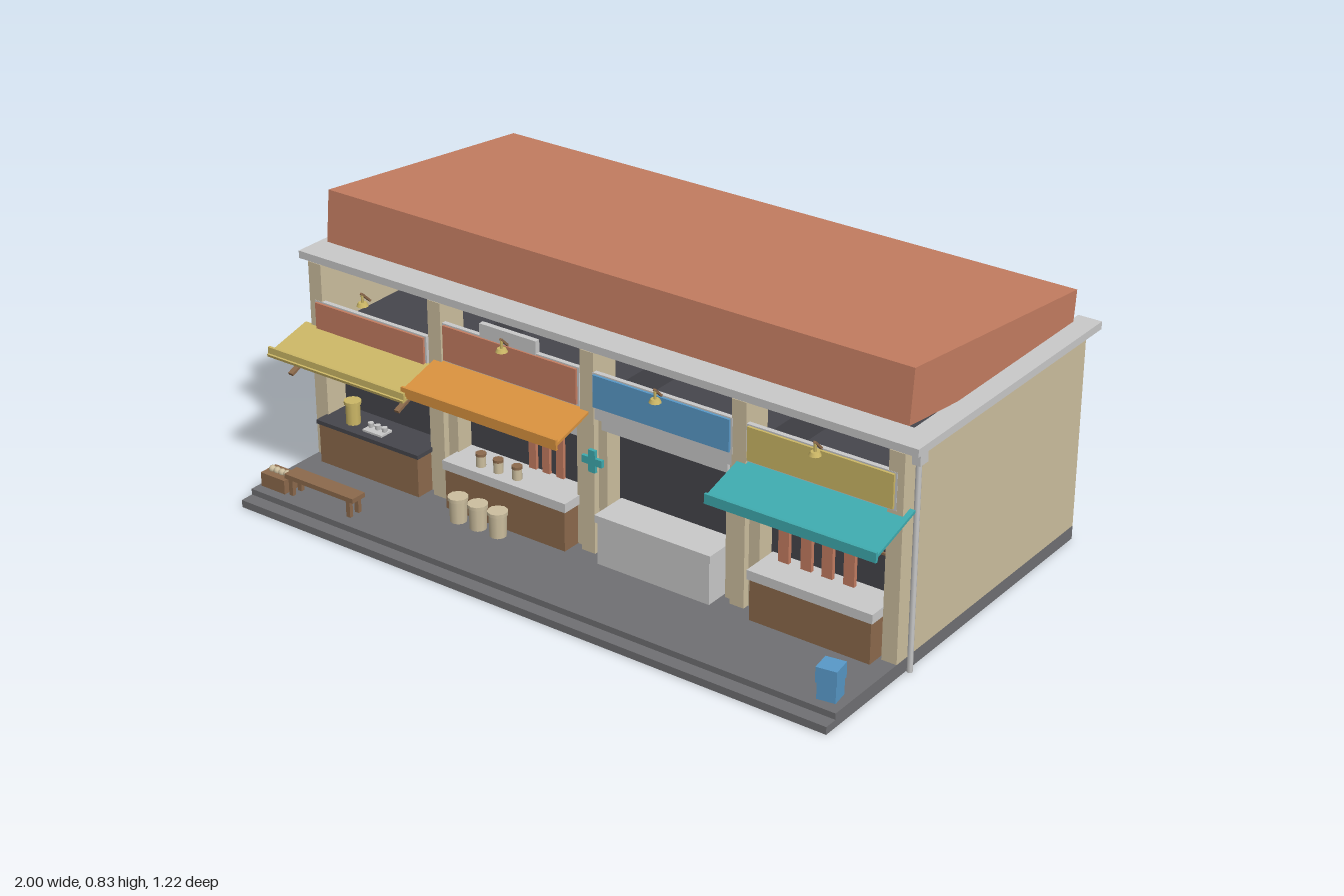
import * as THREE from 'three';

const mat = (name, color) => Object.assign(new THREE.MeshStandardMaterial({ color }), { name });

export function createModel() {
  const model = new THREE.Group();
  model.name = 'shopRow';
  const M = {
    wall: mat('plaster', 0xcdbf9f), tile: mat('terracotta', 0xc47d61), metal: mat('light grey', 0xc9c9c9),
    stone: mat('pavement grey', 0x707073), dark: mat('charcoal', 0x46464c), wood: mat('wood brown', 0x8c6a4c),
    blue: mat('blue', 0x5899c8), yellow: mat('straw yellow', 0xccb766), orange: mat('orange', 0xd9923f),
    teal: mat('teal', 0x3fabaf),
  };
  const add = (name, geo, m, parent = model) => {
    const mesh = new THREE.Mesh(geo, m);
    mesh.name = name;
    parent.add(mesh);
    return mesh;
  };
  // Box given by its extents along each axis
  const box = (name, m, x0, x1, y0, y1, z0, z1, parent) => {
    const b = add(name, new THREE.BoxGeometry(x1 - x0, y1 - y0, z1 - z0), m, parent);
    b.position.set((x0 + x1) / 2, (y0 + y1) / 2, (z0 + z1) / 2);
    return b;
  };
  // Upright cylinder standing on y
  const can = (name, m, x, y, z, r0, r1, h, sides = 10) => {
    const c = add(name, new THREE.CylinderGeometry(r1, r0, h, sides), m);
    c.position.set(x, y + h / 2, z);
    return c;
  };
  // Sloping board running from a wall point (z0, y0) to an outer point (z1, y1)
  const slope = (name, m, x0, x1, z0, y0, z1, y1, t) => {
    const b = add(name, new THREE.BoxGeometry(x1 - x0, t, Math.hypot(z1 - z0, y1 - y0)), m);
    b.position.set((x0 + x1) / 2, (y0 + y1) / 2, (z0 + z1) / 2);
    b.rotation.x = Math.atan2(y0 - y1, z1 - z0);
    return b;
  };

  // Pavement and step
  box('pavement', M.stone, -0.965, 0.965, 0, 0.04, -0.595, 0.57);
  box('step', M.stone, -0.965, 0.965, 0, 0.022, 0.57, 0.61);

  // Shell walls and front pillars
  box('backWall', M.wall, -0.965, 0.965, 0.04, 0.645, -0.595, -0.565);
  for (const s of [-1, 1]) {
    const a = 0.965 * s, b = 0.935 * s;
    box('sideWall', M.wall, Math.min(a, b), Math.max(a, b), 0.04, 0.632, -0.565, 0.25);
    const c = 0.92 * s;
    box('endPillar', M.wall, Math.min(a, c), Math.max(a, c), 0.04, 0.63, 0.2, 0.295);
  }
  for (const x of [-0.515, 0, 0.48]) box('pillar', M.wall, x - 0.022, x + 0.022, 0.04, 0.63, 0.2, 0.295);

  // Shop rooms with plaster jambs between them
  const bays = [[-0.92, -0.56], [-0.46, -0.05], [0.05, 0.43], [0.535, 0.92]];
  bays.forEach(([a, b], i) => {
    box('shopRoom', M.dark, a, b, 0.04, 0.44, -0.5, 0.22);
    if (i < 3) box('jamb', M.wall, b, bays[i + 1][0], 0.04, 0.45, 0.18, 0.275);
  });

  // Tilted roof block and coping
  const roof = add('roof', new THREE.BoxGeometry(1.88, 0.15, 0.804), M.tile);
  roof.position.set(0, 0.708, -0.167);
  roof.rotation.x = -0.106;
  box('frontCoping', M.metal, -1, 1, 0.63, 0.652, 0.2, 0.293);
  for (const s of [-1, 1]) {
    box('sideCoping', M.metal, s * 0.965 - 0.035, s * 0.965 + 0.035, 0.63, 0.652, -0.61, 0.2);
    // Downpipes
    can('downpipe', M.metal, s * 0.974, 0, 0.245, 0.008, 0.008, 0.6, 8);
    box('rainHead', M.metal, s * 0.974 - 0.015, s * 0.974 + 0.015, 0.59, 0.63, 0.228, 0.264);
  }
  box('meterBox', M.metal, -0.995, -0.965, 0.2, 0.29, 0.15, 0.2);

  // Sign boards, each with a pale backing, and a lamp above
  const signs = [
    [M.tile, -0.94, -0.55, 0.43, 0.515, -0.745], [M.tile, -0.48, -0.03, 0.47, 0.572, -0.26],
    [M.blue, 0.025, 0.455, 0.48, 0.572, 0.24], [M.yellow, 0.51, 0.94, 0.475, 0.57, 0.725],
  ];
  for (const [m, x0, x1, y0, y1, lx] of signs) {
    box('signBacking', M.metal, x0 - 0.006, x1 + 0.006, y0 - 0.006, y1 + 0.004, 0.282, 0.296);
    box('signBoard', m, x0, x1, y0, y1, 0.296, 0.303);
    slope('lampArm', M.wood, lx - 0.004, lx + 0.004, 0.292, 0.57, 0.325, 0.602, 0.006);
    can('lampStem', M.yellow, lx, 0.572, 0.322, 0.004, 0.004, 0.028, 6);
    can('lampShade', M.yellow, lx, 0.565, 0.322, 0.017, 0.012, 0.01);
  }
  box('ventPanel', M.metal, -0.355, -0.165, 0.57, 0.612, 0.282, 0.298);

  // Awnings
  slope('yellowAwning', M.yellow, -0.99, -0.5, 0.29, 0.436, 0.45, 0.396, 0.008);
  box('yellowValance', M.yellow, -0.99, -0.5, 0.393, 0.42, 0.438, 0.446);
  slope('orangeAwning', M.orange, -0.52, 0.005, 0.265, 0.462, 0.43, 0.415, 0.008);
  box('orangeValance', M.orange, -0.52, 0.005, 0.4, 0.43, 0.425, 0.433);
  slope('tealAwning', M.teal, 0.475, 0.98, 0.262, 0.465, 0.435, 0.414, 0.008);
  box('tealValance', M.teal, 0.475, 0.98, 0.4, 0.428, 0.428, 0.437);
  for (const x of [-0.935, -0.55]) slope('awningStrut', M.wood, x - 0.008, x + 0.008, 0.29, 0.395, 0.42, 0.342, 0.008);

  // Rolled shutters
  box('halfShutter', M.metal, -0.46, -0.05, 0.34, 0.41, 0.22, 0.24);
  box('shutterHousing', M.metal, 0.022, 0.468, 0.44, 0.495, 0.255, 0.292);
  box('shutterLintel', M.metal, 0.04, 0.44, 0.41, 0.44, 0.22, 0.285);

  // Counters
  const counters = [[-0.92, -0.56, M.wood, M.dark, 0.16, 0.172], [-0.46, -0.05, M.wood, M.metal, 0.16, 0.187],
    [0.06, 0.42, M.metal, M.metal, 0.165, 0.187], [0.545, 0.91, M.wood, M.metal, 0.16, 0.187]];
  for (const [a, b, body, top, y, yt] of counters) {
    box('counter', body, a, b, 0.04, y, 0.22, 0.333);
    box('counterTop', top, a - 0.006, b + 0.006, y, yt, 0.22, 0.338);
  }

  // Goods on the counters
  can('canister', M.yellow, -0.83, 0.172, 0.29, 0.021, 0.021, 0.06);
  can('canisterLid', M.yellow, -0.83, 0.232, 0.29, 0.025, 0.025, 0.01);
  box('tray', M.metal, -0.775, -0.705, 0.172, 0.178, 0.27, 0.315);
  for (const x of [-0.765, -0.74, -0.715]) can('cup', M.metal, x, 0.178, 0.29, 0.007, 0.009, 0.014, 8);
  for (const x of [-0.36, -0.3, -0.235]) {
    can('jar', M.wall, x, 0.187, 0.3, 0.014, 0.014, 0.032);
    can('jarLid', M.wood, x, 0.219, 0.3, 0.015, 0.015, 0.008);
  }

  // Hanging goods
  [-0.175, -0.13, -0.083].forEach((x, i) =>
    box('hangingStrip', M.tile, x - 0.012, x + 0.012, 0.24, 0.395 - i * 0.012, 0.298, 0.308));
  for (const x of [0.622, 0.69, 0.753, 0.818]) box('hangingCloth', M.tile, x - 0.016, x + 0.016, 0.217, 0.335, 0.285, 0.297);
  box('clothRail', M.wood, 0.54, 0.92, 0.335, 0.341, 0.287, 0.293);

  // Cross on the middle pillar
  box('crossUpright', M.teal, 0.01, 0.032, 0.288, 0.353, 0.295, 0.305);
  box('crossBar', M.teal, -0.012, 0.054, 0.31, 0.331, 0.295, 0.305);

  // Barrels in front of the second shop
  for (const x of [-0.388, -0.319, -0.25]) {
    can('barrel', M.wall, x, 0.04, 0.368, 0.024, 0.026, 0.068, 10);
    can('barrelRim', M.wall, x, 0.105, 0.368, 0.029, 0.029, 0.01, 10);
  }

  // Bench, with a crate of produce beside it
  box('benchSeat', M.wood, -0.87, -0.62, 0.088, 0.102, 0.485, 0.535);
  for (const x of [-0.85, -0.64]) for (const z of [0.493, 0.527])
    box('benchLeg', M.wood, x - 0.007, x + 0.007, 0.04, 0.088, z - 0.006, z + 0.006);
  box('crate', M.wood, -0.955, -0.868, 0.04, 0.082, 0.48, 0.54);
  for (let i = 0; i < 4; i++) {
    const p = add('produce', new THREE.SphereGeometry(0.011, 8, 6), M.wall);
    p.position.set(-0.938 + i * 0.018, 0.086, 0.51);
  }

  // Blue bin, turned slightly
  const bin = new THREE.Group();
  bin.name = 'bin';
  bin.position.set(0.912, 0, 0.513);
  bin.rotation.y = 0.15;
  box('binBody', M.blue, -0.026, 0.026, 0.04, 0.088, -0.026, 0.026, bin);
  box('binLid', M.blue, -0.029, 0.029, 0.088, 0.132, -0.029, 0.029, bin);
  model.add(bin);
  return model;
}
